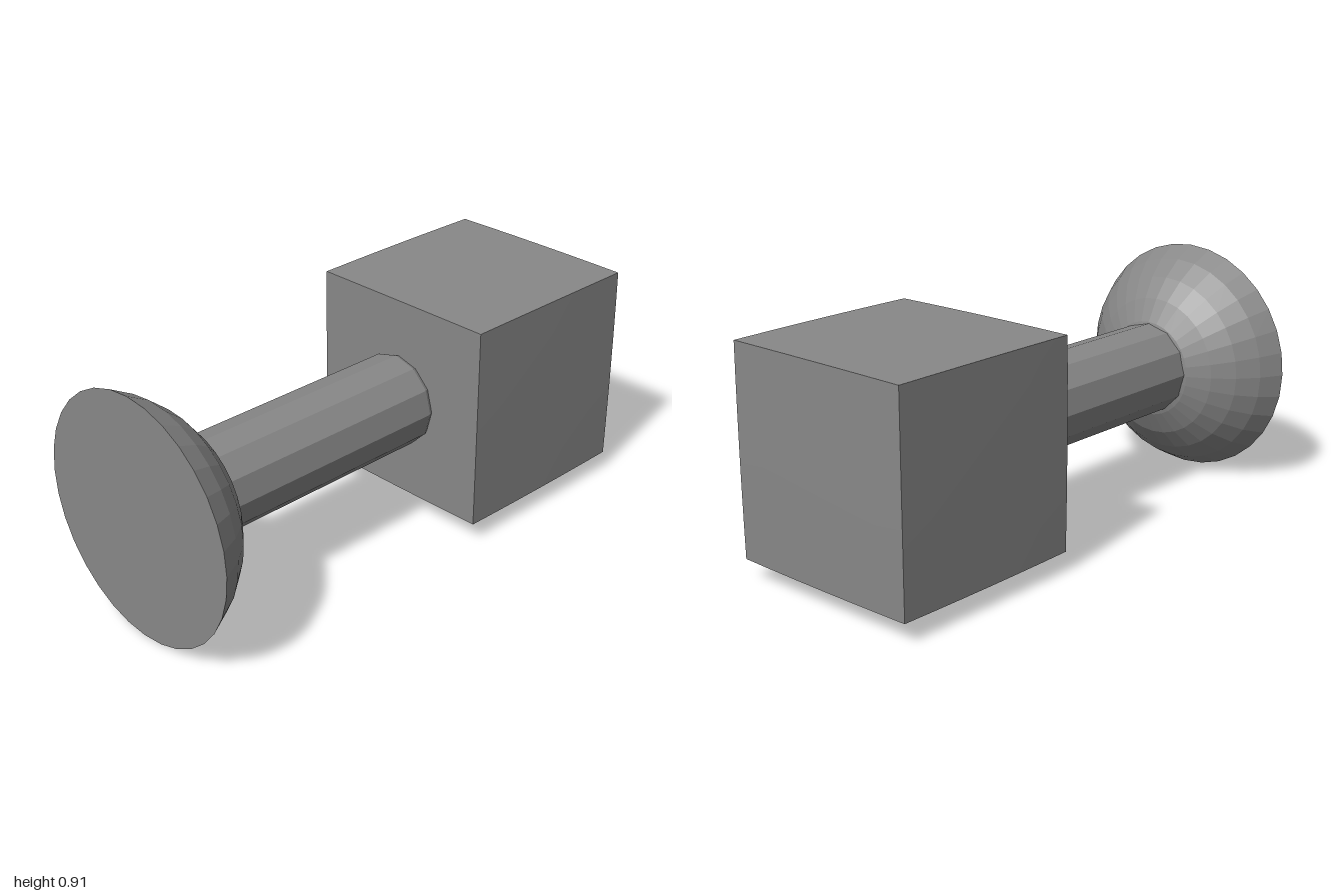
import * as THREE from 'three';

export function createModel() {
  const group = new THREE.Group();
  const faceted = new THREE.MeshStandardMaterial({ color: 0x888888, flatShading: true });
  const smooth = new THREE.MeshStandardMaterial({ color: 0x888888 });

  function add(name, geometry, material, x, y, z) {
    const mesh = new THREE.Mesh(geometry, material);
    mesh.name = name;
    mesh.position.set(x, y, z);
    group.add(mesh);
  }

  // Domed foot: a slice of a sphere, closed by a flat disc at the front
  const radius = 0.494, sphereZ = 1.189, step = Math.PI / 16;
  const profile = [];
  for (let i = 0; i <= 6; i++) {
    profile.push(new THREE.Vector2(radius * Math.sin(i * step), sphereZ - radius * Math.cos(i * step)));
  }
  profile.push(new THREE.Vector2(0, profile[6].y));
  add('domeBase', new THREE.LatheGeometry(profile, 32).rotateX(Math.PI / 2), faceted, 0, 0.458, 0);

  // Twelve-sided shaft with a slight taper where it meets the block
  const shaft = new THREE.CylinderGeometry(0.178, 0.178, 1, 12, 1, true);
  add('shaft', shaft.rotateX(Math.PI / 2), faceted, -0.002, 0.463, 0.295);
  const taper = new THREE.CylinderGeometry(0.178, 0.165, 0.03, 12, 1, true);
  add('shaftTaper', taper.rotateX(Math.PI / 2), faceted, -0.002, 0.463, -0.22);

  // Block whose faces swell very slightly toward their middles
  const half = 0.387;
  const block = new THREE.BoxGeometry(2 * half, 2 * half, 2 * half, 6, 6, 6);
  const pos = block.attributes.position;
  const swell = (a, b, c) => a * (1 + 0.009 * (1 - (b * b + c * c) / (2 * half * half)));
  for (let i = 0; i < pos.count; i++) {
    const x = pos.getX(i), y = pos.getY(i), z = pos.getZ(i);
    pos.setXYZ(i, swell(x, y, z), swell(y, x, z), swell(z, x, y));
  }
  block.computeVertexNormals();
  add('block', block, smooth, 0, 0.465, -0.61);

  return group;
}
